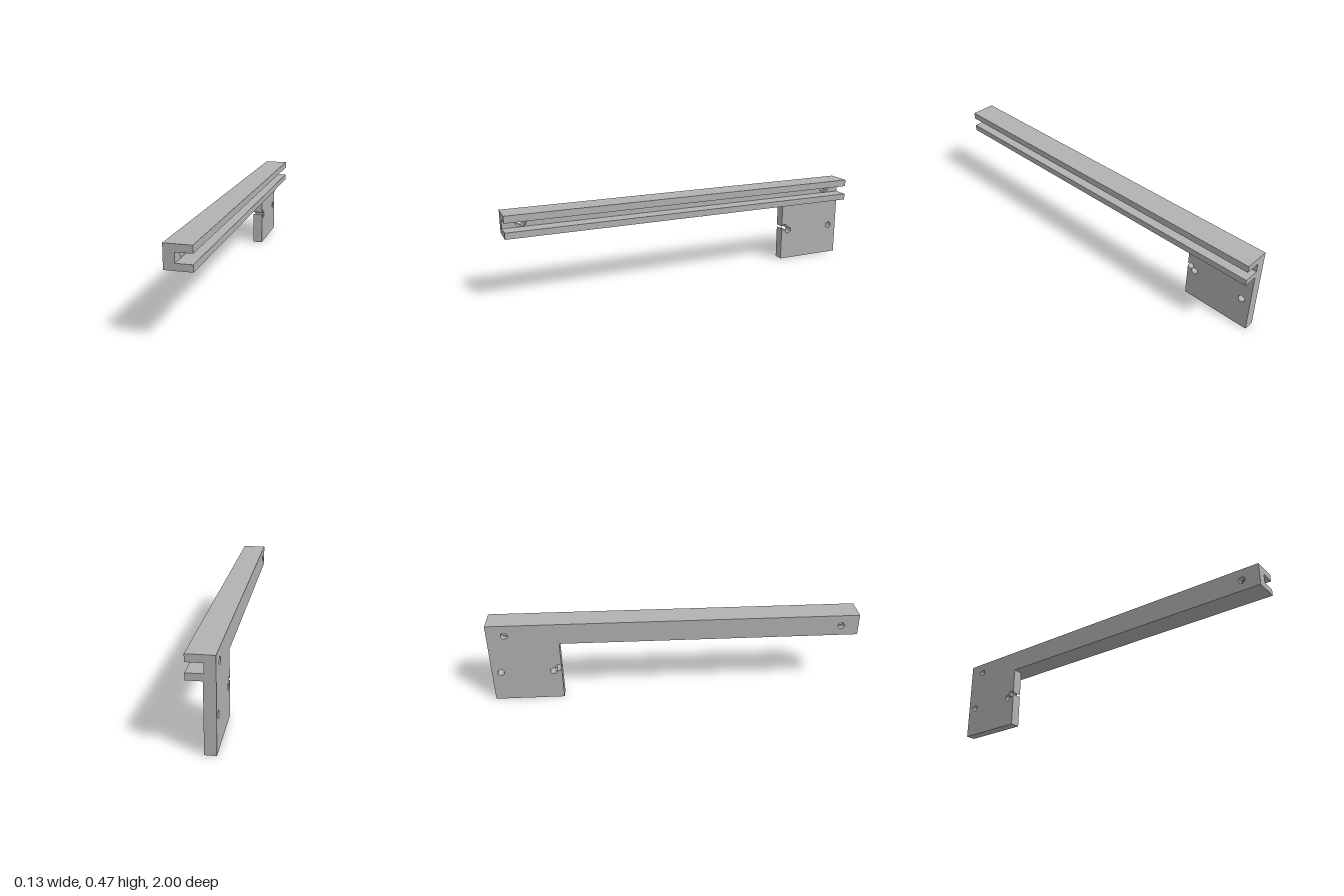
import * as THREE from 'three';

const WEB_X = -0.067, RIGHT_X = 0.067, SLOT_X = -0.014;
const BOTTOM = 0.347, TOP = 0.466, SLOT_LOW = 0.381, SLOT_HIGH = 0.429;
const HOLE_R = 0.018, BOLT_Y = 0.405, BOLT_Z = 0.905;

export function createModel() {
  const group = new THREE.Group();
  const grey = new THREE.MeshStandardMaterial({ color: 0xb2b2b2 });
  grey.name = 'grey';

  const add = (name, geometry) => {
    const mesh = new THREE.Mesh(geometry, grey);
    mesh.name = name;
    group.add(mesh);
  };

  // Side profile drawn in (-z, y), extruded along x from x0 to x1
  const addSlab = (name, shape, x0, x1) => {
    const g = new THREE.ExtrudeGeometry(shape, { depth: x1 - x0, bevelEnabled: false, curveSegments: 24 });
    add(name, g.rotateY(Math.PI / 2).translate(x0, 0, 0));
  };

  const circle = (a, y, r) => new THREE.Path().absarc(a, y, r, 0, Math.PI * 2, true);
  const hexagon = (a, y, r) => new THREE.Path(Array.from({ length: 6 }, (_, i) => {
    const t = -i * Math.PI / 3;
    return new THREE.Vector2(a + r * Math.cos(t), y + r * Math.sin(t));
  })).closePath();

  const webShape = (makeHole, r) => {
    const s = new THREE.Shape();
    s.moveTo(-1, BOTTOM).lineTo(1, BOTTOM).lineTo(1, TOP).lineTo(-1, TOP).closePath();
    for (const side of [-1, 1]) s.holes.push(makeHole(side * BOLT_Z, BOLT_Y, r));
    return s;
  };

  // Channel web: round bolt holes outside, hexagonal nut pockets inside
  const pocketX = SLOT_X - 0.022;
  addSlab('webOuter', webShape(circle, HOLE_R), WEB_X, pocketX);
  addSlab('webNutPockets', webShape(hexagon, 0.031), pocketX, SLOT_X);

  // Two lips of the channel
  for (const [name, y0, y1] of [['lowerLip', BOTTOM, SLOT_LOW], ['upperLip', SLOT_HIGH, TOP]]) {
    const g = new THREE.BoxGeometry(RIGHT_X - SLOT_X, y1 - y0, 2);
    add(name, g.translate((RIGHT_X + SLOT_X) / 2, (y0 + y1) / 2, 0));
  }

  // Mounting plate with a keyhole of two joined circles open to its front edge
  const ax = 0.637, ay = 0.194, bx = 0.664, by = 0.174;
  const dir = Math.atan2(by - ay, bx - ax);
  const half = Math.acos(Math.hypot(bx - ax, by - ay) / 2 / HOLE_R);
  const mouth = Math.acos((0.62 - ax) / HOLE_R);
  const plate = new THREE.Shape();
  plate.moveTo(0.62, 0).lineTo(1, 0).lineTo(1, BOTTOM).lineTo(0.62, BOTTOM);
  plate.absarc(ax, ay, HOLE_R, mouth, dir + half, true);
  plate.absarc(bx, by, HOLE_R, dir + Math.PI - half, dir - Math.PI + half, true);
  plate.absarc(ax, ay, HOLE_R, dir - half, -mouth, true);
  plate.closePath();
  plate.holes.push(circle(0.95, 0.174, HOLE_R));
  addSlab('mountingPlate', plate, WEB_X, -0.011);

  return group;
}
